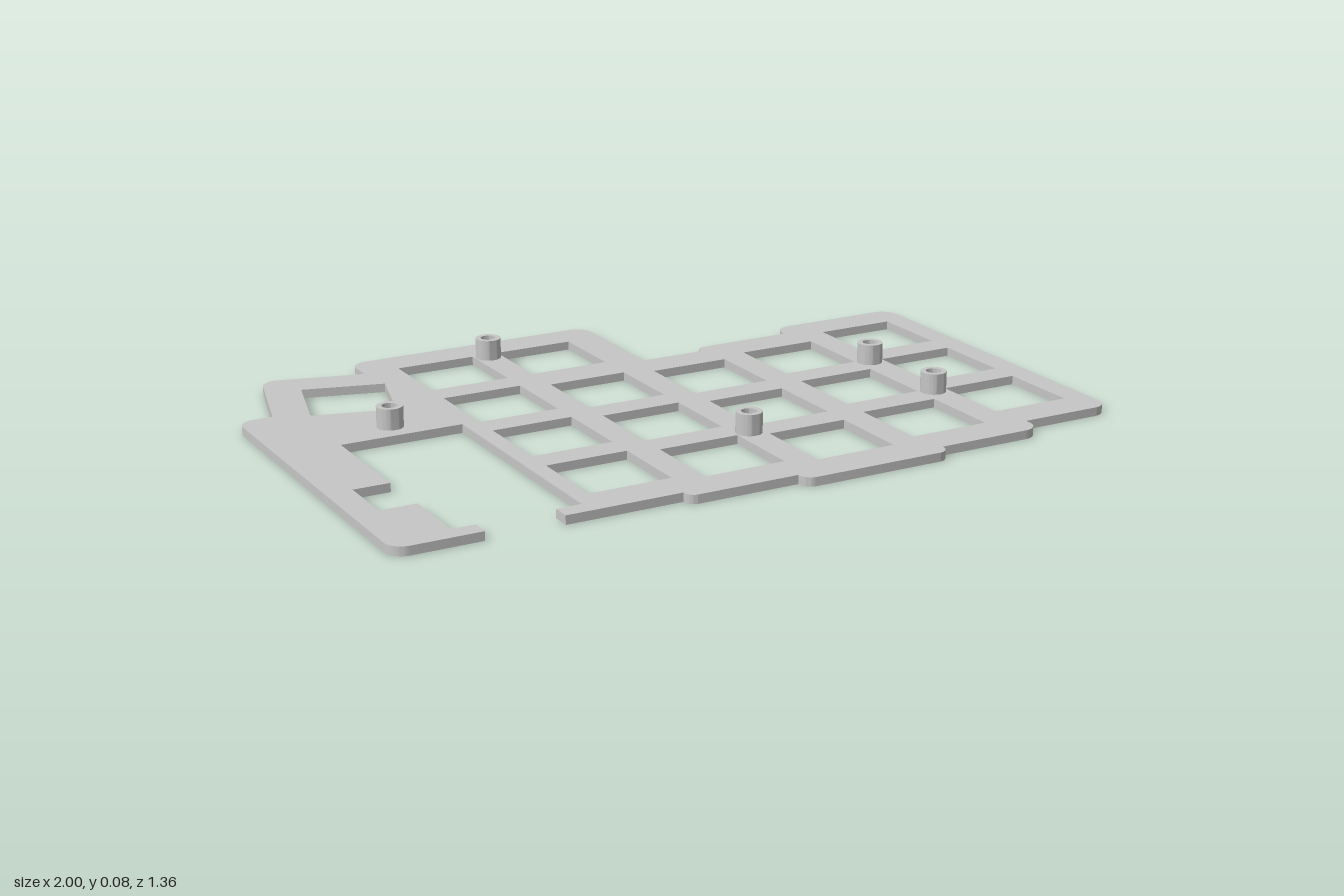
import * as THREE from 'three';
import { toCreasedNormals } from 'three/addons/utils/BufferGeometryUtils.js';

const PLATE = 0.023, TOP = 0.078, KEY = 0.219, PITCH = 0.2945;
const BOSS_R = 0.034, BORE_R = 0.02;

// Plate outline as [x, z, corner radius]
const OUTLINE = [
  [-1, -0.36, 0.045], [-0.906, -0.36], [-0.828, -0.65, 0.045], [-0.565, -0.58],
  [-0.565, -0.682, 0.045], [0.145, -0.682, 0.045], [0.145, -0.325], [0.322, -0.325],
  [0.322, -0.357, 0.031], [0.613, -0.357], [0.613, -0.414, 0.045], [1, -0.414, 0.045],
  [1, 0.59, 0.045], [0.735, 0.59], [0.735, 0.649, 0.045], [0.438, 0.649],
  [0.438, 0.682, 0.032], [0.023, 0.682, 0.032], [0.023, 0.649], [-0.272, 0.649, 0.025],
  [-0.272, 0.621], [-0.577, 0.621], [-0.577, 0.573], [-0.512, 0.573],
  [-0.512, -0.074], [-0.837, -0.074], [-0.837, 0.233], [-0.932, 0.233],
  [-0.932, 0.388], [-0.837, 0.388], [-0.837, 0.573], [-0.777, 0.573],
  [-0.777, 0.621], [-1, 0.621, 0.045],
];

// Key columns: [x, first z, count]
const COLUMNS = [
  [-0.357, -0.472, 4], [-0.064, -0.147, 3], [0.231, -0.119, 3], [0.527, -0.147, 3], [0.823, -0.207, 3],
];
const BOSSES = [[-0.211, -0.558], [-0.676, -0.146], [0.673, -0.02], [0.673, 0.275], [0.083, 0.325]];

// Closed path with rounded corners; shape y is -z
function roundedPath(points, PathClass) {
  const path = new PathClass();
  const v = points.map(([x, z]) => new THREE.Vector2(x, -z));
  const n = v.length;
  v.forEach((p, i) => {
    const r = points[i][2] || 0;
    const toPrev = v[(i + n - 1) % n].clone().sub(p).normalize();
    const toNext = v[(i + 1) % n].clone().sub(p).normalize();
    const half = Math.acos(toPrev.dot(toNext)) / 2;
    const cut = r / Math.tan(half);
    const a = p.clone().addScaledVector(toPrev, cut);
    if (i === 0) path.moveTo(a.x, a.y);
    else path.lineTo(a.x, a.y);
    if (!r) return;
    const b = p.clone().addScaledVector(toNext, cut);
    const c = p.clone().addScaledVector(toPrev.clone().add(toNext).normalize(), r / Math.sin(half));
    const turn = toPrev.x * toNext.y - toPrev.y * toNext.x;
    path.absarc(c.x, c.y, r, Math.atan2(a.y - c.y, a.x - c.x), Math.atan2(b.y - c.y, b.x - c.x), turn > 0);
  });
  path.closePath();
  return path;
}

// Square key cut-out, optionally turned; wound opposite to the outline so its walls face inwards
function keyHole(x, z, angle = 0) {
  const h = KEY / 2, c = Math.cos(angle), s = Math.sin(angle);
  const corners = [[-h, -h], [-h, h], [h, h], [h, -h]];
  return roundedPath(corners.map(([u, w]) => [x + u * c - w * s, z + u * s + w * c]), THREE.Path);
}

function circle(PathClass, x, z, r) {
  const path = new PathClass();
  path.absarc(x, -z, r, 0, Math.PI * 2, false);
  return path;
}

// Extrude upwards from y0
function raise(shape, y0, height, segments) {
  const geo = new THREE.ExtrudeGeometry(shape, { depth: height, bevelEnabled: false, curveSegments: segments });
  geo.rotateX(-Math.PI / 2).translate(0, y0, 0);
  return toCreasedNormals(geo, Math.PI / 6);
}

export function createModel() {
  const model = new THREE.Group();
  model.name = 'keyboardPlate';
  const grey = new THREE.MeshStandardMaterial({ color: 0xc7c7c7 });
  grey.name = 'lightGrey';

  // Switch plate with key and screw holes
  const plate = roundedPath(OUTLINE, THREE.Shape);
  for (const [x, z, count] of COLUMNS) {
    for (let i = 0; i < count; i++) plate.holes.push(keyHole(x, z + i * PITCH));
  }
  plate.holes.push(keyHole(-0.064, -0.472), keyHole(-0.685, -0.398, Math.PI / 12));
  for (const [x, z] of BOSSES) plate.holes.push(circle(THREE.Path, x, z, BORE_R));
  const plateMesh = new THREE.Mesh(raise(plate, 0, PLATE, 12), grey);
  plateMesh.name = 'switchPlate';
  model.add(plateMesh);

  // Hollow screw standoffs
  const ring = circle(THREE.Shape, 0, 0, BOSS_R);
  ring.holes.push(circle(THREE.Path, 0, 0, BORE_R));
  const bossGeo = raise(ring, PLATE, TOP - PLATE, 32);
  for (const [x, z] of BOSSES) {
    const boss = new THREE.Mesh(bossGeo, grey);
    boss.name = 'standoff';
    boss.position.set(x, 0, z);
    model.add(boss);
  }
  return model;
}
